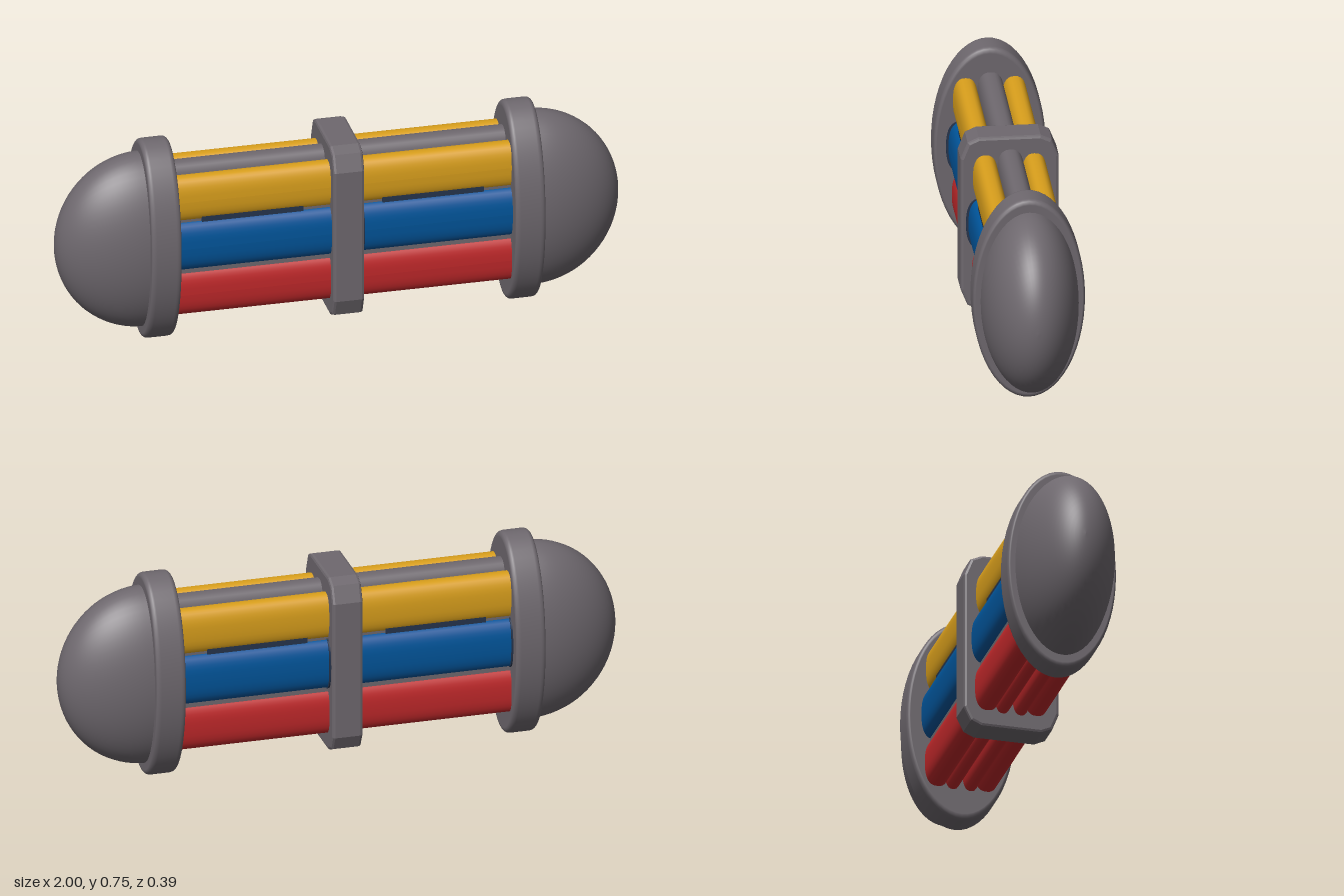
import * as THREE from 'three';

const CY = 0.373; // height of the long axis

export function createModel() {
  const root = new THREE.Group();
  root.name = 'capsuleBattery';
  const mat = (name, color) => Object.assign(new THREE.MeshStandardMaterial({ color }), { name });
  const grey = mat('casing grey', 0x6e686e);
  const yellow = mat('yellow', 0xd99f1c);
  const blue = mat('blue', 0x00559b);
  const navy = mat('dark navy', 0x26344c);
  const red = mat('red', 0xc0282a);

  const add = (name, geo, material, x = 0, y = 0, z = 0) => {
    const mesh = new THREE.Mesh(geo, material);
    mesh.name = name;
    mesh.position.set(x, y, z);
    root.add(mesh);
  };

  // Elliptical solid turned about the x axis; profile holds [radius, distance along side]
  const turned = (name, profile, side, rz) => {
    const geo = new THREE.LatheGeometry(profile.map(p => new THREE.Vector2(...p)), 56);
    geo.rotateZ(-side * Math.PI / 2);
    geo.scale(1, 1, rz);
    add(name, geo, grey, -0.006, CY);
  };

  // Round-edged end collars and domed caps
  for (const side of [-1, 1]) {
    const label = side > 0 ? 'left' : 'right';
    const collar = [[0, 0.592], [0.352, 0.592]];
    const round = (cx, from) => {
      for (let i = 0; i <= 4; i++) {
        const a = from + (i / 4) * Math.PI / 2;
        collar.push([0.355 + Math.cos(a) * 0.018, cx + Math.sin(a) * 0.018]);
      }
    };
    round(0.61, -Math.PI / 2);
    round(0.68, 0);
    collar.push([0, 0.698]);
    turned(label + 'Collar', collar, side, 0.522);

    const dome = [];
    for (let i = 0; i <= 20; i++) {
      const a = (i / 20) * Math.PI / 2;
      dome.push([0.328 * Math.cos(a), 0.69 + 0.308 * Math.sin(a)]);
    }
    turned(label + 'Dome', dome, side, 0.515);
  }

  // Middle band with cut corners
  const w = 0.16, h = 0.314;
  const outline = [[w, -h + 0.06], [w, h - 0.07], [w - 0.022, h - 0.015], [w - 0.055, h]];
  const corners = [
    ...outline,
    ...outline.slice(1).reverse().map(([z, y]) => [-z, y]),
    ...outline.slice(1).map(([z, y]) => [-z, -y]),
    ...outline.slice(2).reverse().map(([z, y]) => [z, -y]),
  ];
  const bandShape = new THREE.Shape(corners.map(p => new THREE.Vector2(...p)));
  const band = new THREE.ExtrudeGeometry(bandShape, {
    depth: 0.09, bevelThickness: 0.01, bevelSize: 0.01, bevelSegments: 2,
  });
  band.translate(0, 0, -0.045).rotateY(Math.PI / 2);
  add('middleBand', band, grey, 0, 0.378);

  // Rods along x with a rounded, slightly squared section
  const rod = (name, material, y, z, ry, rz, x = -0.007, length = 1.2) => {
    const geo = new THREE.CylinderGeometry(1, 1, length, 32);
    geo.rotateZ(Math.PI / 2);
    const pos = geo.attributes.position;
    const square = v => Math.sign(v) * Math.abs(v) ** 0.78;
    for (let i = 0; i < pos.count; i++) {
      pos.setY(i, square(pos.getY(i)) * ry);
      pos.setZ(i, square(pos.getZ(i)) * rz);
    }
    geo.computeVertexNormals();
    add(name, geo, material, x, y, z);
  };
  for (const s of [-1, 1]) {
    const label = s > 0 ? 'front' : 'back';
    rod(label + 'YellowRod', yellow, 0.553, s * 0.085, 0.084, 0.043);
    rod(label + 'BlueRod', blue, 0.382, s * 0.098, 0.092, 0.046);
    rod(label + 'RedRod', red, 0.2, s * 0.088, 0.085, 0.044);
    rod(label + 'LowerRedRod', red, 0.19, s * 0.032, 0.08, 0.03);

    // Dark rims where the blue rods meet the collar and the band
    rod(label + 'CollarRim', navy, 0.382, s * 0.098, 0.095, 0.054, -0.597, 0.008);
    rod(label + 'BandRim', navy, 0.382, s * 0.098, 0.095, 0.054, 0.056, 0.008);

    // Dark inlays in the seams above the blue rods
    for (const x of [-0.33, 0.31]) {
      add(label + 'SeamInlay', new THREE.BoxGeometry(0.36, 0.03, 0.008), navy, x, 0.478, s * 0.114);
    }
  }

  // Grey core: the slab shows as narrow seams between the rods, with a rod along the top
  add('coreSlab', new THREE.BoxGeometry(1.2, 0.25, 0.226), grey, -0.007, 0.375, 0);
  rod('topRod', grey, 0.575, -0.002, 0.08, 0.046);

  return root;
}
